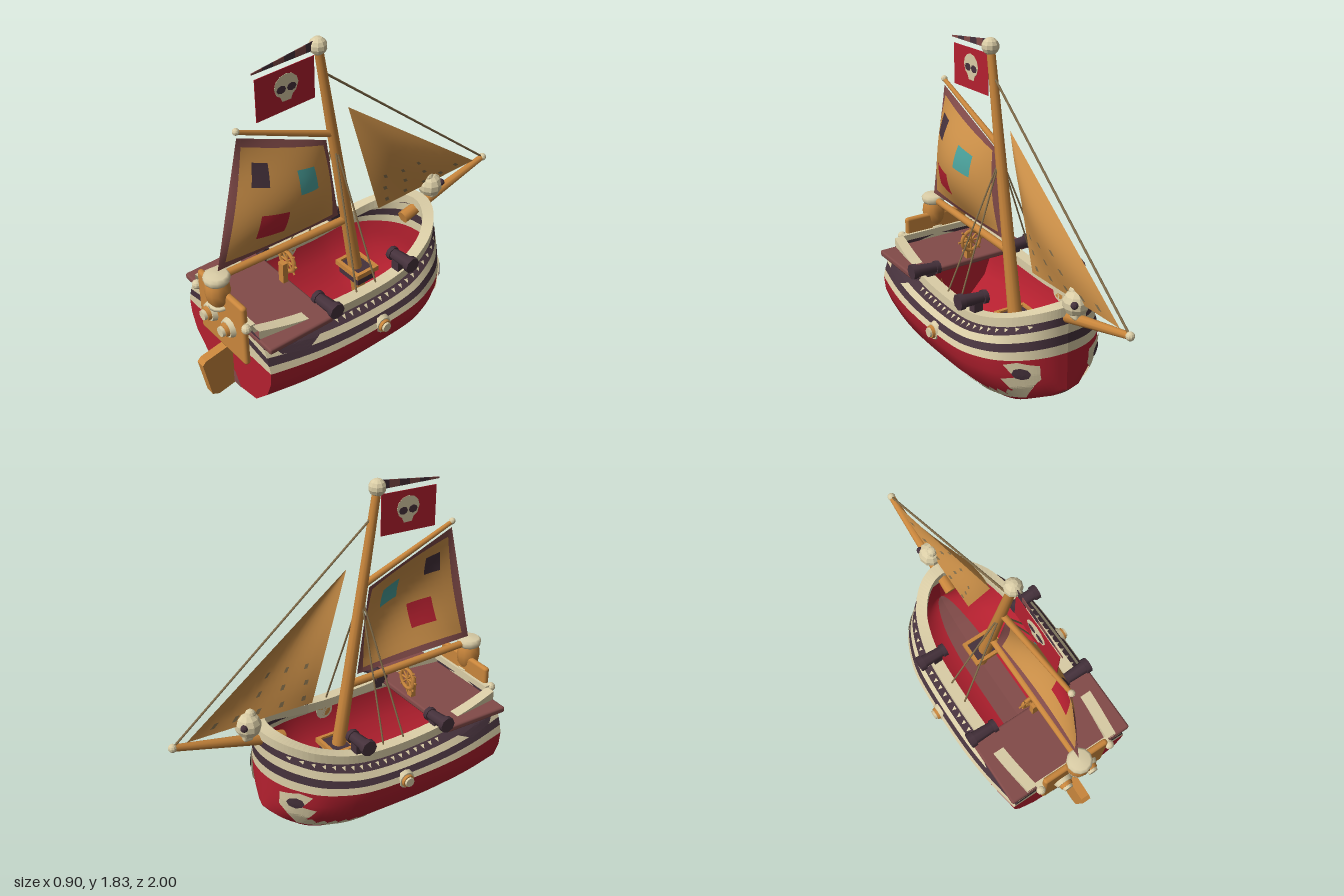
import * as THREE from 'three';
import { RoundedBoxGeometry } from 'three/addons/geometries/RoundedBoxGeometry.js';

const material = (name, color) => {
  const m = new THREE.MeshStandardMaterial({ color, side: THREE.DoubleSide });
  m.name = name;
  return m;
};
const V = (x, y, z) => new THREE.Vector3(x, y, z);
const lerp = THREE.MathUtils.lerp;
const clamp01 = (t) => Math.min(1, Math.max(0, t));

export function createModel() {
  const ship = new THREE.Group();
  ship.name = 'sailingShip';
  const ivory = material('ivory', 0xdacda6), red = material('red', 0xb4202f), dark = material('darkPlum', 0x46323c);
  const maroon = material('maroon', 0x824b49), wood = material('wood', 0xc9863c), cloth = material('sailcloth', 0xcc9048);
  const rope = material('rope', 0x86704c), teal = material('teal', 0x4aa09a);

  const add = (name, geo, mat, x = 0, y = 0, z = 0) => {
    const m = new THREE.Mesh(geo, mat);
    m.name = name;
    m.position.set(x, y, z);
    ship.add(m);
    return m;
  };
  const faceted = (geo) => {
    const g = geo.toNonIndexed();
    g.computeVertexNormals();
    return g;
  };
  const ball = (name, r, mat, x, y, z) => add(name, faceted(new THREE.SphereGeometry(r, 10, 7)), mat, x, y, z);
  // Tapered round bar between two points
  const rod = (name, a, b, r0, r1, mat, sides = 10) => {
    const d = b.clone().sub(a), mid = a.clone().add(b).multiplyScalar(0.5);
    const m = add(name, new THREE.CylinderGeometry(r1, r0, d.length(), sides), mat, mid.x, mid.y, mid.z);
    m.quaternion.setFromUnitVectors(V(0, 1, 0), d.normalize());
    return m;
  };
  // Surface patch from a rule f(u, v) -> [x, y, z]
  const grid = (f, nu, nv) => {
    const p = [], idx = [];
    for (let j = 0; j <= nv; j++) for (let i = 0; i <= nu; i++) p.push(...f(i / nu, j / nv));
    for (let j = 0; j < nv; j++) for (let i = 0; i < nu; i++) {
      const a = j * (nu + 1) + i, b = a + nu + 1;
      idx.push(a, a + 1, b, a + 1, b + 1, b);
    }
    const g = new THREE.BufferGeometry();
    g.setAttribute('position', new THREE.Float32BufferAttribute(p, 3));
    g.setIndex(idx);
    g.computeVertexNormals();
    return g;
  };
  const shapeOf = (pts) => new THREE.Shape(pts.map(([z, y]) => new THREE.Vector2(z, y)));
  const blob = (cz, cy, rz, ry, n = 12) => Array.from({ length: n }, (_, i) => {
    const a = (i / n) * Math.PI * 2;
    return [cz + rz * Math.cos(a), cy + ry * Math.sin(a)];
  });
  // Plate lying in the z-y plane, centred on x = 0
  const plate = (name, pts, depth, mat) => {
    const g = new THREE.ExtrudeGeometry(shapeOf(pts), { depth, bevelEnabled: false });
    return add(name, g.translate(0, 0, -depth / 2).rotateY(-Math.PI / 2), mat);
  };

  // Hull: stations (z, width factor, keel lift) and one half section (x, y)
  const curve = new THREE.CatmullRomCurve3([
    [0.82, 0.87, 0.03], [0.6, 0.96, 0.01], [0.4, 1, 0], [0.1, 1, 0], [-0.1, 0.97, 0], [-0.2, 0.91, 0.01],
    [-0.32, 0.78, 0.03], [-0.41, 0.58, 0.07], [-0.46, 0.4, 0.1], [-0.49, 0.2, 0.13], [-0.5, 0, 0.14],
  ].map((s) => V(...s)));
  const N = 40, stations = curve.getPoints(N);
  const section = [[0, 0], [0.1, 0.005], [0.25, 0.03], [0.37, 0.15], [0.41, 0.25], [0.42, 0.31],
    [0.408, 0.34], [0.39, 0.37], [0.368, 0.4], [0.32, 0.432]];
  const sheer = (z) => (z < 0.1 ? 0.15 * ((0.1 - z) / 0.6) ** 2 : 0.09 * ((z - 0.1) / 0.75) ** 2);
  const hullPoint = (st, i) => {
    const [x, y] = section[i];
    const low = y <= 0.31 ? st.z + y * (1 - st.z / 0.31) : y;
    return [x * st.y, low + sheer(st.x) * clamp01((y - 0.25) / 0.18), st.x];
  };
  const bands = [['keelBand', 0, 1, maroon], ['lowerHull', 1, 5, red], ['ivoryStripe', 5, 6, ivory],
    ['darkStripe', 6, 7, dark], ['ivoryStripe', 7, 8, ivory], ['darkStripe', 8, 9, dark]];
  for (const [name, i0, i1, mat] of bands) {
    for (const s of [1, -1]) {
      add(name, grid((u, v) => {
        const p = hullPoint(stations[Math.round(u * N)], i0 + Math.round(v * (i1 - i0)));
        return [p[0] * s, p[1], p[2]];
      }, N, i1 - i0), mat);
    }
    // Flat stern, its stripes rising to the middle
    add('transom', grid((u, v) => {
      const i = i0 + Math.round(v * (i1 - i0)), p = hullPoint(stations[0], i), k = 2 * u - 1;
      return [p[0] * k, p[1] + 0.06 * (1 - Math.abs(k)) * clamp01((section[i][1] - 0.31) / 0.03), 0.82];
    }, 2, i1 - i0), i0 === 0 ? red : mat);
  }
  const keelMark = new THREE.Shape([[-0.09, 0.035], [0.09, 0.035], [0.04, 0.12], [-0.04, 0.12]].map((p) => new THREE.Vector2(...p)));
  add('sternKeelMark', new THREE.ShapeGeometry(keelMark), maroon, 0, 0, 0.824);

  // Rail cap: a four-sided loop swept along the hull edge
  for (const s of [1, -1]) {
    const corners = [[0, 0], [0, 1], [1, 1], [1, 0], [0, 0]];
    const rail = grid((u, v) => {
      const st = stations[Math.round(u * N)], [inn, up] = corners[Math.round(v * 4)];
      const [x, y, z] = hullPoint(st, 9), bow = z < 0.1 ? ((0.1 - z) / 0.6) ** 2 : 0;
      return [s * (inn ? x * 0.81 : x * 1.015), y - 0.006 + up * 0.052, z + (inn ? 0.06 : -0.008) * bow];
    }, N, 4);
    add('rail', faceted(rail), ivory);
  }

  // Half width of the hull at a given z and y
  const halfWidth = (z, y) => {
    let k = 0;
    while (k < N - 1 && stations[k + 1].x > z) k++;
    const a = stations[k], b = stations[k + 1];
    const st = a.clone().lerp(b, clamp01((a.x - z) / (a.x - b.x)));
    const ps = section.map((_, i) => hullPoint(st, i));
    for (let i = 1; i < ps.length; i++) {
      if (y <= ps[i][1]) return lerp(ps[i - 1][0], ps[i][0], clamp01((y - ps[i - 1][1]) / (ps[i][1] - ps[i - 1][1])));
    }
    return ps[ps.length - 1][0];
  };
  // Painted shape wrapped on both sides of the hull
  const paint = (name, pts, mat, off = 0.006, splits = 2) => {
    const src = new THREE.ShapeGeometry(shapeOf(pts)).toNonIndexed().attributes.position;
    let tris = [];
    for (let i = 0; i < src.count; i += 3) tris.push([0, 1, 2].map((k) => [src.getX(i + k), src.getY(i + k)]));
    const mid = (a, b) => [(a[0] + b[0]) / 2, (a[1] + b[1]) / 2];
    for (let n = 0; n < splits; n++) {
      tris = tris.flatMap(([a, b, c]) => {
        const d = mid(a, b), e = mid(b, c), f = mid(c, a);
        return [[a, d, f], [d, b, e], [f, e, c], [d, e, f]];
      });
    }
    for (const s of [1, -1]) {
      const pos = tris.flat().flatMap(([z, y]) => [s * (halfWidth(z, y) + off), y, z - off * clamp01((-0.2 - z) / 0.25)]);
      const g = new THREE.BufferGeometry();
      g.setAttribute('position', new THREE.Float32BufferAttribute(pos, 3));
      g.computeVertexNormals();
      add(name, g, mat);
    }
  };
  // Painted beast at the bow: toothed jaw, cheek and eye
  for (let i = 0; i < 6; i++) {
    const z = -0.02 - i * 0.06, y = 0.055 + 0.055 * (i / 5) ** 2;
    paint('jawTooth', [[z, y - 0.02], [z - 0.06, y - 0.014], [z - 0.06, y + 0.012], [z - 0.03, y + 0.05], [z, y + 0.012]], ivory);
  }
  paint('cheek', [[-0.3, 0.08], [-0.39, 0.1], [-0.44, 0.18], [-0.47, 0.24], [-0.47, 0.32], [-0.41, 0.34], [-0.36, 0.32],
    [-0.4, 0.25], [-0.34, 0.23], [-0.37, 0.16]], ivory, 0.007, 3);
  paint('eye', blob(-0.42, 0.275, 0.03, 0.035, 8), dark, 0.012);
  paint('gunPort', [[0.78, 0.47], [0.74, 0.42], [0.6, 0.39], [0.48, 0.44], [0.44, 0.47]], dark, 0.006, 3);
  for (let i = 0; i < 18; i++) {
    const z = 0.4 - i * 0.048, y = 0.425 + sheer(z) * 0.97;
    paint('railTooth', [[z, y], [z - 0.022, y], [z - 0.011, y - 0.016]], ivory, 0.005, 0);
  }

  // Stern deck, board, rudder and rear rail
  add('sternDeck', new RoundedBoxGeometry(0.76, 0.035, 0.39, 1, 0.012), maroon, 0, 0.492, 0.63);
  add('sternBoard', new RoundedBoxGeometry(0.4, 0.37, 0.035, 2, 0.016), wood, 0, 0.475, 0.838);
  add('sternRail', new THREE.BoxGeometry(0.46, 0.035, 0.04), ivory, 0, 0.55, 0.825);
  for (const s of [1, -1]) ball('railKnob', 0.026, ivory, s * 0.22, 0.55, 0.85);
  plate('rudder', [[0.82, 0.03], [0.92, 0.01], [0.96, 0.03], [1, 0.25], [0.98, 0.27], [0.82, 0.3]], 0.05, wood);

  // Layered round rosettes on the stern board and hull sides
  const rosette = (x, y, z, axis) => {
    const g = new THREE.Group();
    g.name = 'rosette';
    const parts = [[0.058, 0.03, ivory, 12], [0.044, 0.05, wood, 12], [0.034, 0.066, ivory, 10]];
    for (const [r, h, mat, n] of parts) {
      const m = new THREE.Mesh(new THREE.CylinderGeometry(r * 0.8, r, h, n).translate(0, h / 2, 0), mat);
      m.name = 'rosetteDisc';
      g.add(m);
    }
    g.position.set(x, y, z);
    g.quaternion.setFromUnitVectors(V(0, 1, 0), axis);
    ship.add(g);
    return g;
  };
  for (const s of [1, -1]) {
    rosette(s * 0.08, 0.47, 0.85, V(0, 0, 1));
    rosette(s * 0.4, 0.31, 0.14, V(s, 0, 0)).scale.set(0.95, 0.75, 0.95);
  }

  // Stern lantern
  const lathe = (pts) => new THREE.LatheGeometry(pts.map((p) => new THREE.Vector2(...p)), 12);
  add('lanternBase', lathe([[0, 0.54], [0.03, 0.545], [0.052, 0.56], [0.05, 0.575], [0, 0.58]]), ivory, 0, 0, 0.86);
  add('lanternBody', lathe([[0.035, 0.575], [0.058, 0.61], [0.066, 0.66], [0.06, 0.7], [0.05, 0.725]]), wood, 0, 0, 0.86);
  add('lanternCap', lathe([[0, 0.715], [0.06, 0.715], [0.068, 0.73], [0.068, 0.75], [0.055, 0.762], [0, 0.765]]), ivory, 0, 0, 0.86);

  // Cannons
  for (const s of [1, -1]) for (const [y, z] of [[0.57, -0.08], [0.535, 0.42]]) {
    rod('cannonBarrel', V(s * 0.23, y - 0.01, z), V(s * 0.37, y, z), 0.03, 0.036, dark, 8);
    rod('cannonMuzzle', V(s * 0.36, y, z), V(s * 0.39, y, z), 0.044, 0.044, dark, 8);
    rod('cannonBreech', V(s * 0.22, y - 0.01, z), V(s * 0.245, y - 0.01, z), 0.038, 0.038, dark, 8);
    add('cannonRest', new THREE.BoxGeometry(0.05, 0.08, 0.05), dark, s * 0.28, y - 0.05, z);
  }

  // Mast collar and steering wheel
  add('mastCollar', new THREE.BoxGeometry(0.16, 0.07, 0.12), dark, 0, 0.33, -0.03);
  for (const s of [1, -1]) {
    add('collarFrame', new THREE.BoxGeometry(0.02, 0.03, 0.15), wood, s * 0.085, 0.362, -0.03);
    add('collarFrame', new THREE.BoxGeometry(0.19, 0.03, 0.02), wood, 0, 0.362, -0.03 + s * 0.065);
  }
  add('wheelStand', new THREE.BoxGeometry(0.04, 0.13, 0.03), wood, 0, 0.565, 0.465);
  add('wheelRim', new THREE.TorusGeometry(0.058, 0.011, 6, 16), wood, 0, 0.625, 0.435);
  for (let i = 0; i < 4; i++) {
    const a = (i / 4) * Math.PI, c = Math.cos(a) * 0.08, d = Math.sin(a) * 0.08;
    rod('wheelSpoke', V(-c, 0.625 - d, 0.435), V(c, 0.625 + d, 0.435), 0.006, 0.006, wood, 6);
  }

  // Mast, spars and rigging
  rod('mast', V(0, 0.05, -0.065), V(0, 1.78, 0.21), 0.042, 0.022, wood, 12);
  ball('mastBall', 0.046, ivory, 0, 1.78, 0.21);
  rod('gaff', V(0, 1.27, 0.13), V(0, 1.495, 0.685), 0.018, 0.012, wood);
  ball('gaffKnob', 0.018, ivory, 0, 1.5, 0.69);
  rod('boom', V(0, 0.712, 0.04), V(0, 0.737, 0.87), 0.022, 0.02, wood);
  rod('bowsprit', V(0, 0.53, -0.36), V(0, 0.68, -0.97), 0.036, 0.018, wood);
  ball('bowspritKnob', 0.023, ivory, 0, 0.68, -0.975);
  rod('forestay', V(0, 1.63, 0.18), V(0, 0.685, -0.97), 0.006, 0.006, rope, 6);
  for (const s of [1, -1]) for (const z of [0.08, 0.21]) {
    rod('shroud', V(0, 1.22, 0.12), V(s * 0.285, 0.47, z), 0.005, 0.005, rope, 6);
  }

  // Figurehead skull
  ball('figureheadSkull', 0.07, ivory, 0, 0.67, -0.56);
  ball('figureheadCrest', 0.03, ivory, 0, 0.727, -0.545);
  add('figureheadJaw', new RoundedBoxGeometry(0.07, 0.05, 0.06, 1, 0.015), ivory, 0, 0.615, -0.575);
  for (const s of [1, -1]) ball('figureheadEye', 0.02, dark, s * 0.043, 0.685, -0.604);

  // Main sail: border, centre and sewn patches
  const mainSail = (u, v, off = 0) => [
    0.115 * Math.sin(Math.PI * u) ** 0.8 * Math.sin(Math.PI * v) + off,
    lerp(lerp(0.76, 0.772, u), lerp(1.25, 1.465, u), v),
    lerp(lerp(0.1, 0.85, u), lerp(0.17, 0.69, u), v)];
  // Foresail: a triangle fanning out from its head
  const foreSail = (u, v, off = 0) => [
    0.06 * Math.sin(Math.PI * u) * Math.sin(Math.PI * v) + off,
    lerp(1.385, lerp(0.675, 0.685, u), v), lerp(0.03, lerp(-0.18, -0.9, u), v)];
  const piece = (name, sail, u0, u1, v0, v1, mat, n = 4, off = 0) =>
    add(name, grid((u, v) => sail(lerp(u0, u1, u), lerp(v0, v1, v), off), n, n), mat);
  piece('mainSail', mainSail, 0.05, 0.95, 0.05, 0.94, cloth, 14);
  piece('sailBorder', mainSail, 0, 0.05, 0, 1, maroon, 14);
  piece('sailBorder', mainSail, 0.95, 1, 0, 1, maroon, 14);
  piece('sailBorder', mainSail, 0.05, 0.95, 0, 0.05, maroon, 14);
  piece('sailBorder', mainSail, 0.05, 0.95, 0.94, 1, maroon, 14);
  piece('foreSail', foreSail, 0, 1, 0, 1, cloth, 14);
  for (const off of [0.006, -0.006]) {
    piece('darkPatch', mainSail, 0.72, 0.86, 0.66, 0.84, dark, 4, off);
    piece('tealPatch', mainSail, 0.25, 0.45, 0.56, 0.77, teal, 4, off);
    piece('redPatch', mainSail, 0.55, 0.77, 0.21, 0.43, red, 4, off);
    for (const [v, us] of [[0.68, [0.15, 0.36, 0.58]], [0.8, [0.1, 0.32, 0.55]], [0.92, [0.08, 0.27, 0.47, 0.66, 0.84]]]) {
      for (const u of us) piece('sailSpot', foreSail, u, u + 0.035, v, v + 0.035, rope, 1, off);
    }
  }

  // Flag with skull, and striped pennant
  plate('flag', [[0.235, 1.515], [0.575, 1.502], [0.575, 1.725], [0.235, 1.738]], 0.003, red);
  plate('flagSkull', [...blob(0.4, 1.638, 0.07, 0.063).slice(0, 7), [0.345, 1.6], [0.365, 1.585], [0.375, 1.56],
    [0.425, 1.56], [0.435, 1.585], [0.457, 1.6]], 0.006, ivory);
  for (const s of [1, -1]) plate('flagSkullEye', blob(0.4 + s * 0.03, 1.625, 0.027, 0.021, 8), 0.009, dark);
  for (let i = 0; i < 6; i++) {
    const edge = (t) => [[lerp(0.22, 0.59, t), lerp(1.765, 1.754, t)], [lerp(0.22, 0.59, t), lerp(1.815, 1.762, t)]];
    const [a, b] = edge(i / 6), [c, d] = edge((i + 1) / 6);
    plate('pennantBand', [a, c, d, b], 0.004, i % 2 ? maroon : dark);
  }
  return ship;
}
